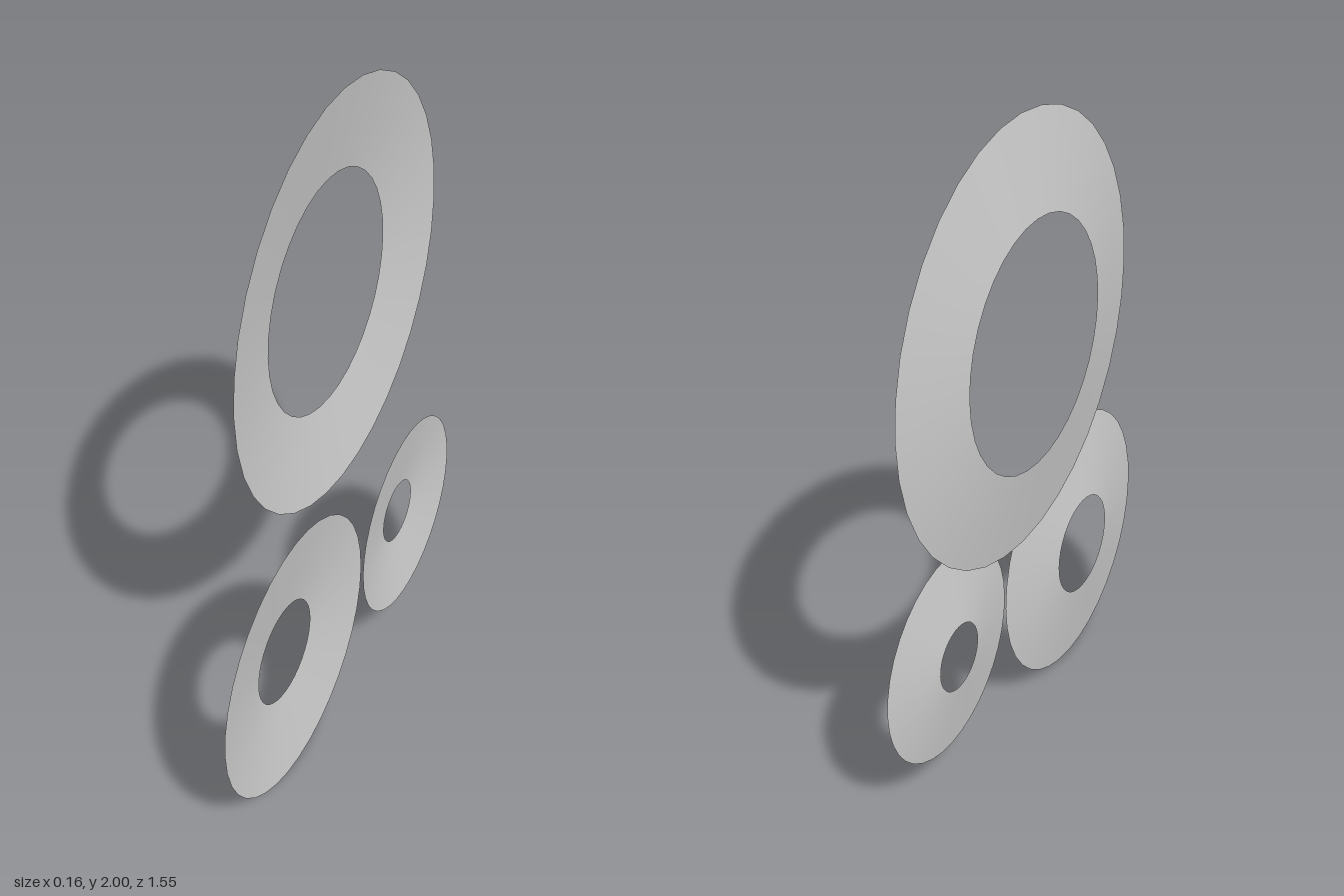
import * as THREE from 'three';

const material = new THREE.MeshStandardMaterial({ color: 0xcccccc, side: THREE.DoubleSide });

// Thin dished ring whose axis runs along x: the inner rim sits at xInner, the outer rim at xOuter.
function dishedRing(name, { y, z, inner, outer, xInner, xOuter }) {
  const profile = [new THREE.Vector2(inner, xInner), new THREE.Vector2(outer, xOuter)];
  const geometry = new THREE.LatheGeometry(profile, 36);
  geometry.rotateZ(-Math.PI / 2);
  const ring = new THREE.Mesh(geometry, material);
  ring.name = name;
  ring.position.set(0, y, z);
  return ring;
}

export function createModel() {
  const model = new THREE.Group();
  model.name = 'dishedRings';
  model.add(
    // Large ring on top
    dishedRing('largeRing', { y: 1.365, z: -0.138, inner: 0.361, outer: 0.635, xInner: -0.083, xOuter: -0.036 }),
    // Medium ring at the lower front
    dishedRing('mediumRing', { y: 0.432, z: 0.346, inner: 0.161, outer: 0.431, xInner: 0.013, xOuter: 0.054 }),
    // Small ring at the lower back
    dishedRing('smallRing', { y: 0.444, z: -0.372, inner: 0.104, outer: 0.328, xInner: 0.046, xOuter: 0.08 })
  );
  return model;
}
